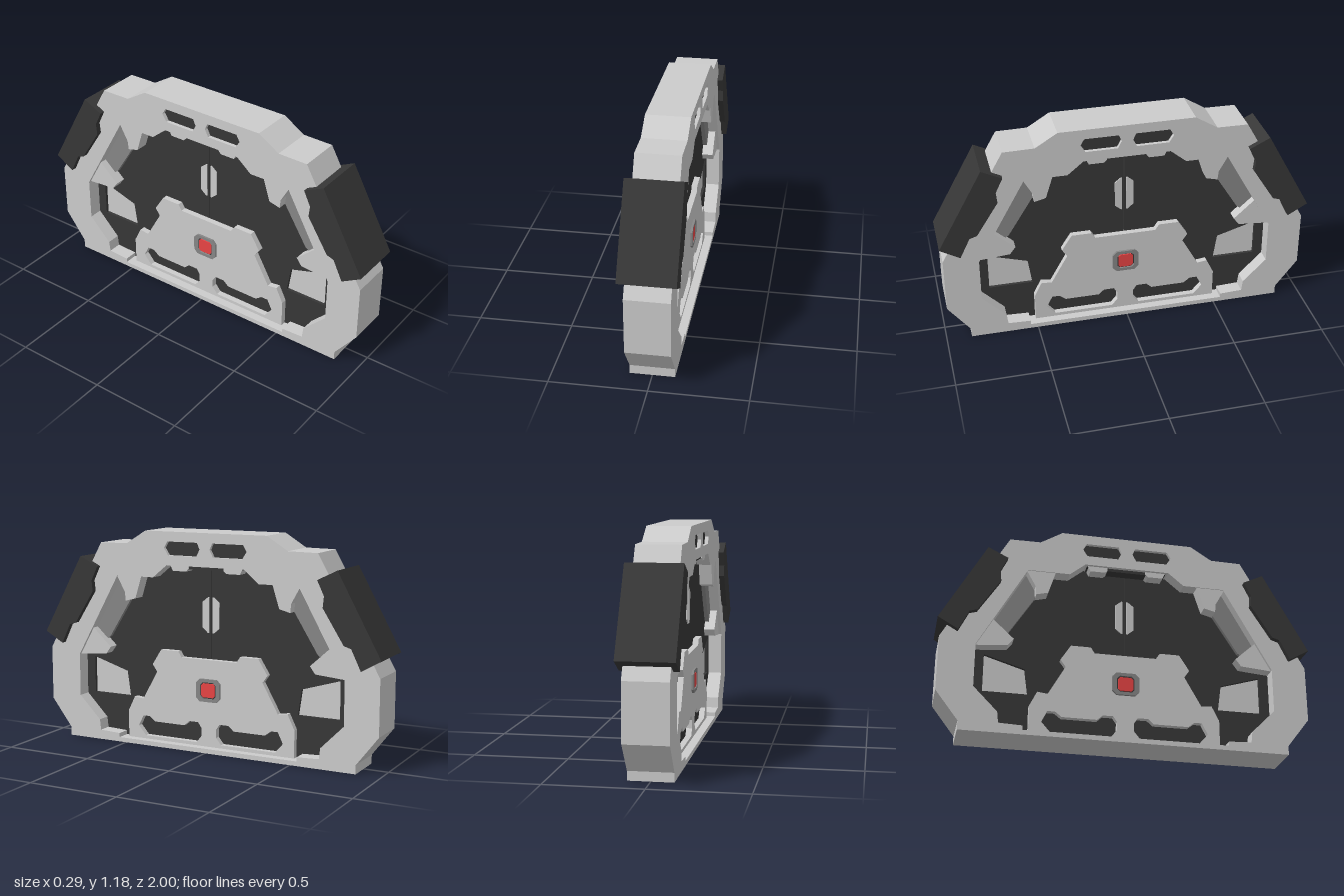
import * as THREE from 'three';

const material = (color) => new THREE.MeshStandardMaterial({ color, flatShading: true });
const V = (pts) => pts.map(([z, y]) => new THREE.Vector2(z, y));
const flip = (pts) => pts.map(([z, y]) => [-z, y]).reverse();
// full outline from its +z half, listed top to bottom
const whole = (half) => [...half, ...flip(half)];
// holes run counter-clockwise so that their walls face inwards
const holePath = (pts) => {
  const v = V(pts);
  return new THREE.Path(THREE.ShapeUtils.isClockWise(v) ? v.reverse() : v);
};

export function createModel() {
  const group = new THREE.Group();
  const light = material(0xcccccc);
  const dark = material(0x373737);
  const grey = material(0x868686);
  const red = material(0xe84444);

  // slab with a (z, y) outline, reaching from -halfX to +halfX
  const slab = (name, outline, halfX, mat, holes = []) => {
    const shape = new THREE.Shape(V(outline));
    shape.holes = holes.map(holePath);
    const g = new THREE.ExtrudeGeometry(shape, { depth: 2 * halfX, bevelEnabled: false });
    g.translate(0, 0, -halfX).rotateY(-Math.PI / 2);
    const mesh = new THREE.Mesh(g, mat);
    mesh.name = name;
    group.add(mesh);
  };
  const pair = (name, outline, halfX, mat, holes = []) => {
    slab(name + 'Front', outline, halfX, mat, holes);
    slab(name + 'Back', flip(outline), halfX, mat, holes.map(flip));
  };
  const octagon = (y, w, h, c) => [
    [w, y + h - c], [w - c, y + h], [c - w, y + h], [-w, y + h - c],
    [-w, y - h + c], [c - w, y - h], [w - c, y - h], [w, y - h + c],
  ];

  // Outer frame with its opening and the vents in the top beam
  const vent = [[0.03, 1.097], [0.05, 1.058], [0.22, 1.058], [0.245, 1.097], [0.225, 1.132], [0.045, 1.132]];
  const opening = whole([
    [0.23, 1.005], [0.315, 0.935], [0.54, 0.935], [0.797, 0.476], [0.797, 0.24],
    [0.67, 0.112], [0.663, 0.053], [0.54, 0.048], [0.54, 0.025],
  ]);
  slab('frame', whole([
    [0.36, 1.185], [0.478, 1.112], [0.643, 1.11], [0.985, 0.503],
    [0.985, 0.204], [0.865, 0.048], [0.865, 0],
  ]), 0.115, light, [opening, vent, flip(vent)]);
  pair('vent', vent, 0.095, dark);

  // Inner corner tabs, side blocks and the recessed linings between them
  pair('cornerTab', [[0.39, 0.94], [0.43, 0.813], [0.492, 0.797], [0.497, 0.845], [0.55, 0.94]], 0.11, light);
  pair('sideBlock', [[0.6, 0.53], [0.63, 0.49], [0.8, 0.476], [0.715, 0.635]], 0.1, light);
  pair('sideLining', [[0.56, 0.95], [0.48, 0.845], [0.492, 0.797], [0.626, 0.583], [0.66, 0.56], [0.75, 0.62]], 0.06, grey);

  // Trim below the top beam
  slab('topTrim', whole([[0.225, 1.01], [0.2, 0.988]]), 0.095, dark);
  pair('topTrimTab', [[0.105, 0.99], [0.12, 0.975], [0.2, 0.975], [0.215, 1.005], [0.105, 1.005]], 0.1, light);

  // Door leaves parted by a narrow seam, with a recessed window in each
  const window = [[0.745, 0.25], [0.745, 0.455], [0.53, 0.39], [0.51, 0.25]];
  const leaf = [
    [0.0015, 0.01], [0.7, 0.01], [0.7, 0.1], [0.84, 0.22],
    [0.84, 0.49], [0.58, 0.95], [0.34, 0.96], [0.25, 1.03], [0.0015, 1.03],
  ];
  pair('doorLeaf', leaf, 0.038, dark, [window]);
  slab('doorCore', whole([[0.25, 1.02], [0.55, 0.95], [0.82, 0.48], [0.82, 0.22], [0.68, 0.02]]), 0.015, dark);
  pair('window', window, 0.022, light);
  pair('handle', [[0.011, 0.645], [0.018, 0.645], [0.05, 0.672], [0.05, 0.812], [0.018, 0.838], [0.011, 0.838]], 0.044, light);

  // Raised lower plate with two cut-outs
  const slot = [
    [0.045, 0.125], [0.065, 0.155], [0.12, 0.155], [0.15, 0.128], [0.335, 0.128], [0.37, 0.155],
    [0.41, 0.155], [0.44, 0.095], [0.395, 0.043], [0.075, 0.043], [0.045, 0.08],
  ];
  slab('lowerPlate', whole([
    [0.166, 0.503], [0.187, 0.535], [0.294, 0.535], [0.348, 0.45], [0.32, 0.41],
    [0.41, 0.25], [0.465, 0.257], [0.505, 0.176], [0.505, 0.02],
  ]), 0.07, light, [slot, flip(slot)]);

  // Button in its bezel
  slab('buttonBezel', octagon(0.337, 0.072, 0.062, 0.022), 0.082, grey, [octagon(0.337, 0.047, 0.045, 0.015)]);
  slab('buttonBase', octagon(0.337, 0.06, 0.055, 0.02), 0.073, dark);
  slab('button', octagon(0.337, 0.04, 0.038, 0.01), 0.08, red);

  // Clamps around the upper sides of the frame
  pair('clamp', [
    [0.76, 1.032], [0.652, 0.979], [0.69, 0.9], [0.684, 0.84], [0.8, 0.658],
    [0.84, 0.645], [0.893, 0.536], [1, 0.597],
  ], 0.145, dark);

  return group;
}
